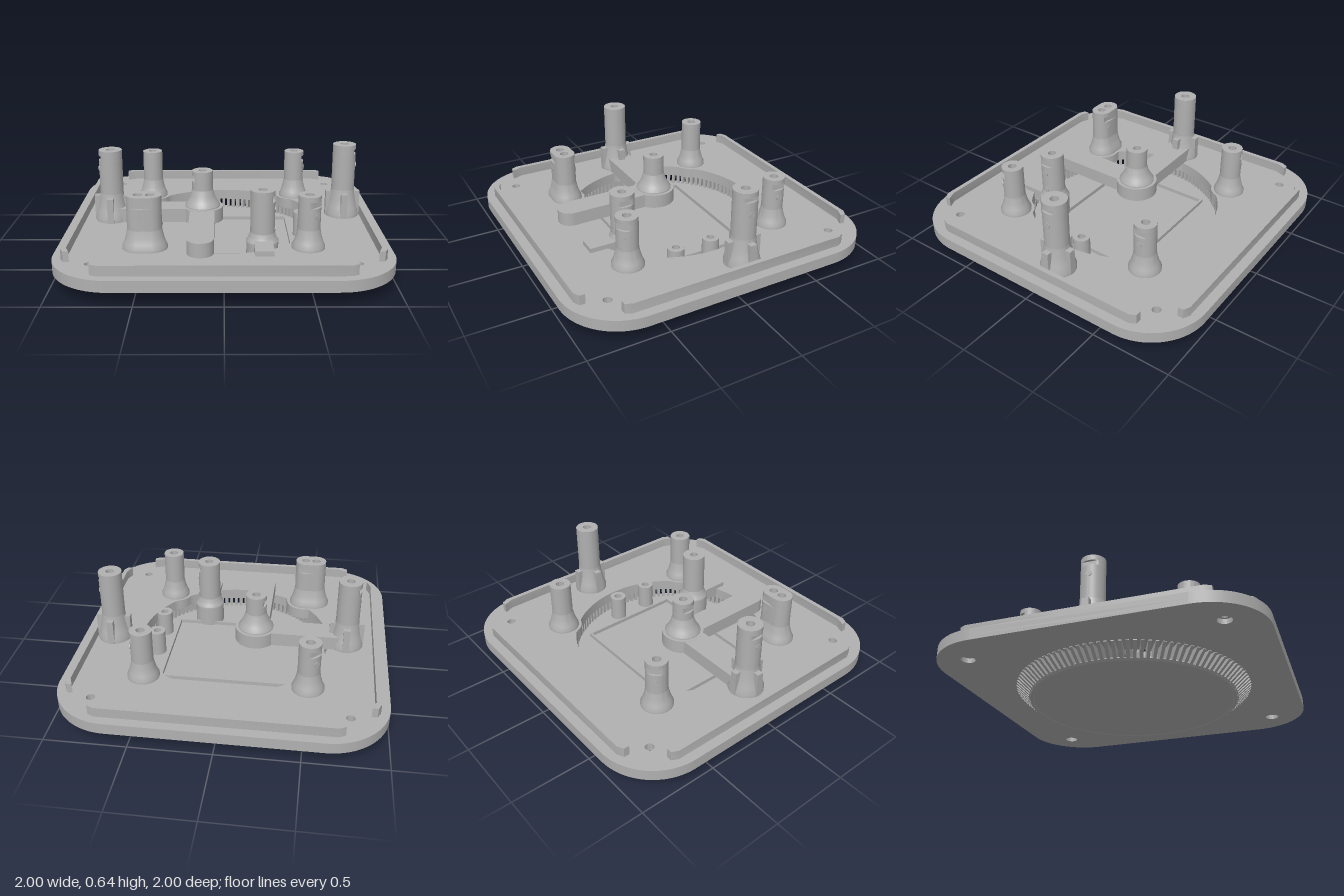
import * as THREE from 'three';
import { mergeGeometries, toCreasedNormals } from 'three/addons/utils/BufferGeometryUtils.js';

const V2 = (x, y) => new THREE.Vector2(x, y);
const plastic = new THREE.MeshStandardMaterial({ color: 0xb0b0b0 });
plastic.name = 'greyPlastic';

function part(parent, name, geometry) {
  const mesh = new THREE.Mesh(toCreasedNormals(geometry, 0.6), plastic);
  mesh.name = name;
  parent.add(mesh);
  return mesh;
}

// Circular hole path in plan coordinates
function circle(x, z, r) {
  return new THREE.Path().absarc(x, z, r, 0, Math.PI * 2, true);
}

// Plan shape (x, z) raised from y0 to y1
function slab(shape, y0, y1) {
  return new THREE.ExtrudeGeometry(shape, { depth: y1 - y0, bevelEnabled: false, curveSegments: 24 })
    .rotateX(Math.PI / 2).translate(0, y1, 0);
}

function rect(x0, z0, x1, z1) {
  return new THREE.Shape([V2(x0, z0), V2(x1, z0), V2(x1, z1), V2(x0, z1)]);
}

function box(x0, y0, z0, x1, y1, z1) {
  return slab(rect(x0, z0, x1, z1), y0, y1);
}

// Round or, with a stretch, stadium post outline, optionally cut flat towards given angles
function postShape(r, stretch, notches, bore) {
  const pts = [];
  for (let i = 0; i < 48; i++) {
    const a = (i + 0.5) / 48 * Math.PI * 2;
    const p = V2(r * Math.cos(a), r * Math.sin(a));
    for (const n of notches) {
      const d = V2(Math.cos(n), Math.sin(n));
      const over = p.dot(d) - (r - 0.017);
      if (over > 0 && (!stretch || p.x * d.y < 0)) p.addScaledVector(d, -over);
    }
    p.x += Math.sign(p.x) * stretch;
    pts.push(p);
  }
  const shape = new THREE.Shape(pts);
  for (const s of stretch ? [-1, 1] : [0]) shape.holes.push(circle(s * stretch, 0, bore));
  return shape;
}

// Flared post with a notch near the top and small side holes
function post(parent, { name, x, z, top, r, foot, y0 = 0.155, flareTop = 0.28, angles = [], slot, holes = [], stretch = 0, ribs }) {
  const g = new THREE.Group();
  g.name = name;
  g.position.set(x, 0, z);
  parent.add(g);
  const h = flareTop - y0;
  const flare = new THREE.LatheGeometry([
    V2(foot, y0), V2(foot, y0 + h * 0.12), V2(r + (foot - r) * 0.6, y0 + h * 0.35),
    V2(r + (foot - r) * 0.25, y0 + h * 0.65), V2(r, flareTop),
  ], 48);
  if (stretch) {
    const p = flare.attributes.position;
    for (let i = 0; i < p.count; i++) {
      const px = p.getX(i);
      if (Math.abs(px) > 1e-6) p.setX(i, px + Math.sign(px) * stretch);
    }
  }
  part(g, 'flare', flare);
  const [s0, s1] = slot;
  const full = postShape(r, stretch, [], 0.027);
  part(g, 'shaft', slab(full, y0, s0));
  part(g, 'notchedShaft', slab(postShape(r, stretch, angles, 0.027), s0, s1));
  part(g, 'shaftTop', slab(full, s1, top));
  for (const a of angles) for (const y of holes) {
    const disc = new THREE.CylinderGeometry(0.019, 0.019, 0.006, 16).rotateZ(-Math.PI / 2)
      .translate(r, y, 0).rotateY(-a);
    if (stretch) disc.translate(-stretch * Math.sin(a), 0, 0);
    part(g, 'sideHole', disc);
  }
  if (ribs) for (let i = 0; i < 4; i++) {
    part(g, 'rib', box(r - 0.02, y0, -0.021, 0.112, 0.32, 0.021).rotateY(i * Math.PI / 2));
  }
}

export function createModel() {
  const model = new THREE.Group();
  model.name = 'mountingPlate';
  const PI = Math.PI;

  // Central opening, narrowed where the post pads reach into it
  const pads = [[-0.51, -0.51, 0.12], [0.505, -0.51, 0.12], [0.505, 0.515, 0.12], [-0.435, 0.515, 0.12], [-0.735, 0, 0.135]];
  const opening = [];
  for (let i = 0; i < 180; i++) {
    const a = -i / 180 * PI * 2, c = Math.cos(a), s = Math.sin(a);
    let r = 0.62;
    for (const [x, z, pr] of pads) {
      const along = x * c + z * s, off = x * s - z * c;
      if (along > 0 && Math.abs(off) < pr) r = Math.min(r, along - Math.sqrt(pr * pr - off * off));
    }
    opening.push(V2(r * c, r * s));
  }

  // Rounded square plate in two layers, with wider screw holes below
  function plateLayer(holeRadius) {
    const s = new THREE.Shape(), k = 0.63, R = 0.37;
    s.absarc(k, k, R, 0, PI / 2).absarc(-k, k, R, PI / 2, PI)
      .absarc(-k, -k, R, PI, PI * 1.5).absarc(k, -k, R, PI * 1.5, PI * 2);
    s.holes.push(new THREE.Path(opening));
    for (const x of [-0.767, 0.767]) for (const z of [-0.767, 0.767]) s.holes.push(circle(x, z, holeRadius));
    return s;
  }
  part(model, 'plateTop', slab(plateLayer(0.027), 0.115, 0.155));
  part(model, 'plateBottom', slab(plateLayer(0.043), 0.085, 0.115));

  // Edge rails with ends bent inward
  const rail = new THREE.Shape([
    V2(-0.74, 0.92), V2(-0.74, 0.885), V2(-0.68, 0.91), V2(0.68, 0.91),
    V2(0.74, 0.885), V2(0.74, 0.92), V2(0.7, 0.94), V2(-0.7, 0.94),
  ]);
  for (let i = 0; i < 4; i++) part(model, 'edgeRail', slab(rail, 0.155, 0.218).rotateY(i * PI / 2));

  // Bowl floor and the ring of sloping grille bars
  part(model, 'bowlFloor', new THREE.LatheGeometry(
    [V2(0, 0.004), V2(0.635, 0.004), V2(0.64, 0), V2(0.655, 0), V2(0.668, 0.012), V2(0.66, 0.02), V2(0, 0.02)], 96));
  const bar = new THREE.ExtrudeGeometry(
    new THREE.Shape([V2(0.62, 0.01), V2(0.66, 0.004), V2(0.75, 0.08), V2(0.75, 0.087), V2(0.62, 0.087)]),
    { depth: 0.02, bevelEnabled: false }).translate(0, 0, -0.01);
  const bars = [];
  for (let i = 0; i < 112; i++) bars.push(bar.clone().rotateY(i / 112 * PI * 2));
  part(model, 'grilleBars', mergeGeometries(bars));

  // Thin rectangular frame on the floor
  const frame = rect(-0.443, -0.35, 0.443, 0.343);
  frame.holes.push(new THREE.Path(rect(-0.43, -0.337, 0.43, 0.33).getPoints().reverse()));
  part(model, 'floorFrame', slab(frame, 0.02, 0.045));

  // Small bosses in the bowl
  for (const z of [-0.045, 0.2]) {
    part(model, 'smallBoss', slab(postShape(0.053, 0, [], 0.024), 0.02, 0.185).translate(0.52, 0, z));
  }

  // Arms that carry the central post
  part(model, 'sideArm', box(-0.735, 0.155, -0.08, -0.14, 0.245, 0.08));
  const arm = new THREE.Shape();
  arm.moveTo(-0.06, 0).lineTo(-0.06, 0.61).absarc(-0.14, 0.61, 0.08, 0, PI).lineTo(-0.22, 0);
  part(model, 'frontArm', slab(arm, 0.155, 0.2445));
  part(model, 'armHub', new THREE.CylinderGeometry(0.135, 0.135, 0.091, 48).translate(-0.14, 0.2, 0));

  // Tab under the inner post
  part(model, 'postTab', box(0.18, 0.1, 0.415, 0.293, 0.185, 0.66));
  part(model, 'innerPostBase', new THREE.CylinderGeometry(0.098, 0.098, 0.14, 40).translate(0.235, 0.09, 0.415));

  // Posts
  const low = { top: 0.485, r: 0.068, foot: 0.1, slot: [0.415, 0.455], holes: [0.365, 0.24] };
  post(model, { ...low, name: 'backRightPost', x: -0.51, z: -0.51, angles: [-PI * 0.73] });
  post(model, { ...low, name: 'backLeftPost', x: 0.505, z: -0.51, angles: [0] });
  post(model, { ...low, name: 'frontLeftPost', x: 0.505, z: 0.515, angles: [PI * 0.27] });
  post(model, { ...low, name: 'doublePost', x: -0.472, z: 0.515, stretch: 0.036, angles: [PI / 2, -PI / 2] });
  post(model, { ...low, name: 'innerPost', x: 0.235, z: 0.415, r: 0.075, flareTop: 0.22, angles: [0] });
  post(model, { ...low, name: 'centralPost', x: -0.14, z: 0, foot: 0.115, y0: 0.24, flareTop: 0.36, angles: [PI], holes: [] });
  const tall = { r: 0.075, foot: 0.11, flareTop: 0.34, ribs: true };
  post(model, { ...tall, name: 'tallRightPost', x: -0.735, z: 0, top: 0.625, angles: [PI], slot: [0.56, 0.59], holes: [0.5] });
  post(model, { ...tall, name: 'tallLeftPost', x: 0.795, z: -0.09, top: 0.64, angles: [0], slot: [0.58, 0.61], holes: [0.5] });

  return model;
}
